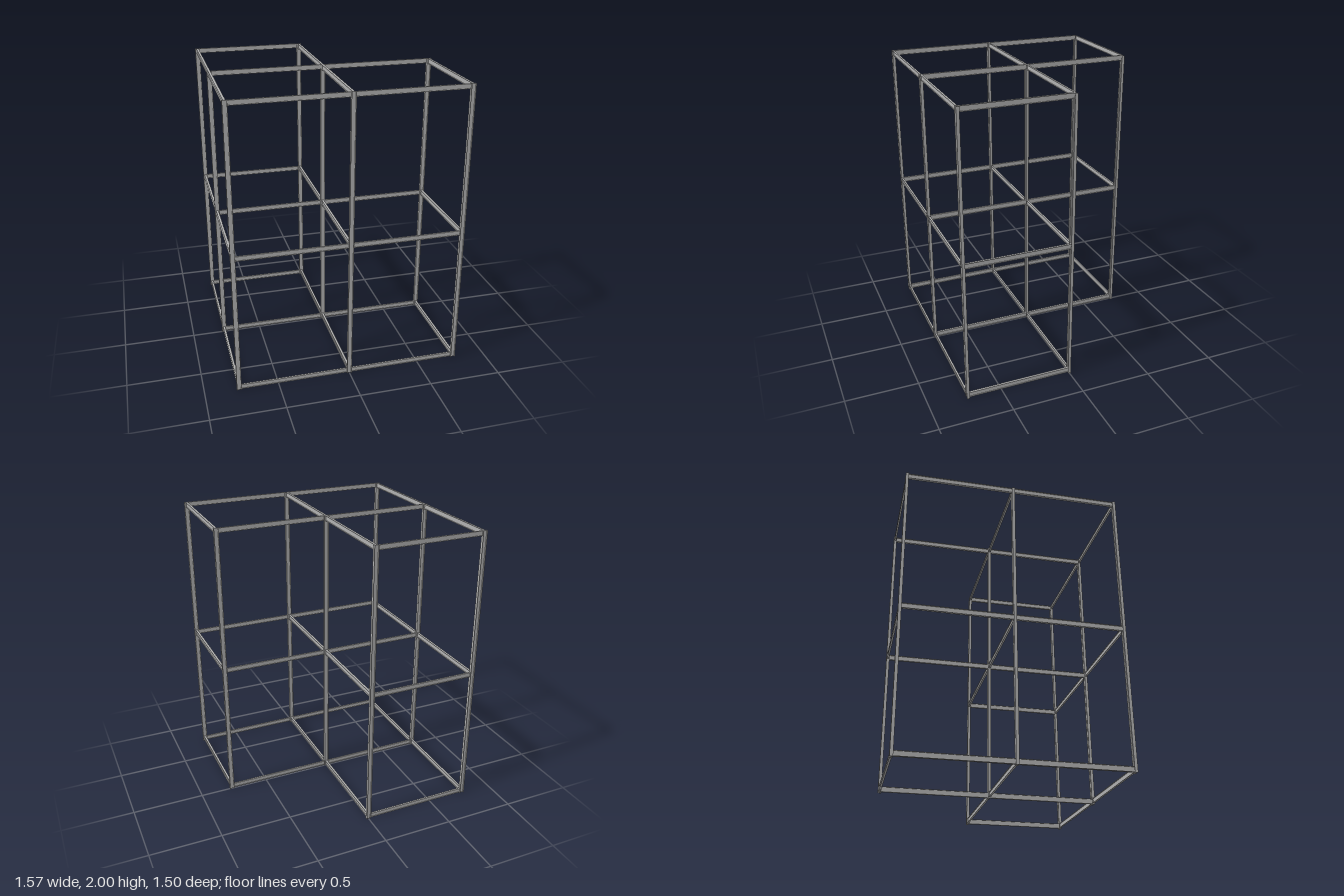
import * as THREE from 'three';

// I-shaped section: w across the flanges, d deep (along shape y)
function iSection(w, d, tf, tw) {
  const a = w / 2, b = d / 2, t = tw / 2, f = b - tf;
  return new THREE.Shape([
    [-a, -b], [a, -b], [a, -f], [t, -f], [t, f], [a, f],
    [a, b], [-a, b], [-a, f], [-t, f], [-t, -f], [-a, -f],
  ].map(([x, y]) => new THREE.Vector2(x, y)));
}

function bar(section, length) {
  const g = new THREE.ExtrudeGeometry(section, { depth: length, bevelEnabled: false });
  return g.translate(0, 0, -length / 2);
}

export function createModel() {
  const group = new THREE.Group();
  const steel = new THREE.MeshStandardMaterial({ color: 0xb0b0b0 });
  steel.name = 'grey steel';

  const X = 0.77, Z = 0.737, H = 2;
  const postD = 0.032, postW = 0.021, web = 0.003;
  const xBeamH = 0.033, zBeamH = 0.036;
  const tops = [0.041, 1, 2]; // upper face of the beams on each level

  // posts: flanges face left and right
  const postGeo = bar(iSection(postW, postD, 0.003, web), H).rotateZ(Math.PI / 2).rotateX(Math.PI / 2);
  postGeo.rotateY(0);
  // beams along x reach between post flanges, beams along z reach the post webs
  const xGeo = bar(iSection(0.013, xBeamH, 0.0025, 0.002), X - postD).rotateY(Math.PI / 2);
  const zGeo = bar(iSection(0.016, zBeamH, 0.0025, 0.002), Z - web);

  const add = (geo, name, x, y, z) => {
    const m = new THREE.Mesh(geo, steel);
    m.name = name;
    m.position.set(x, y, z);
    group.add(m);
  };

  // L-shaped plan: the back bay at +x is left open
  for (const i of [-1, 0, 1]) {
    for (const k of [-1, 0, 1]) {
      if (i === 1 && k === -1) continue;
      add(postGeo, 'post', i * X, H / 2, k * Z);
    }
  }
  for (const top of tops) {
    for (const k of [-1, 0, 1]) {
      for (const side of [-0.5, 0.5]) {
        if (k === -1 && side > 0) continue;
        add(xGeo, 'crossBeam', side * X, top - xBeamH / 2, k * Z);
      }
    }
    for (const i of [-1, 0, 1]) {
      for (const side of [-0.5, 0.5]) {
        if (i === 1 && side < 0) continue;
        add(zGeo, 'sideBeam', i * X, top - zBeamH / 2, side * Z);
      }
    }
  }
  return group;
}
